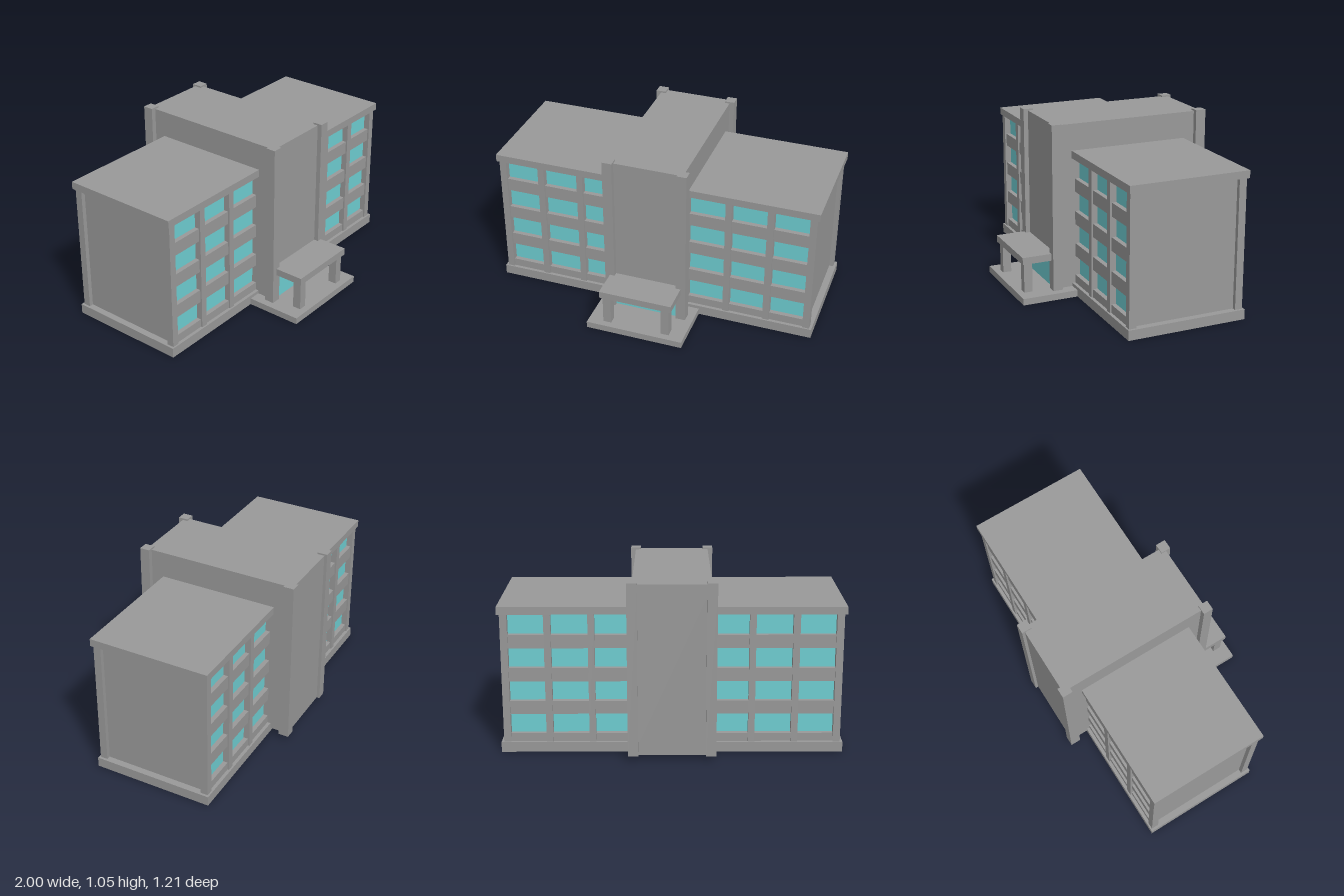
import * as THREE from 'three';

export function createModel() {
  const building = new THREE.Group();
  building.name = 'officeBuilding';
  const concrete = new THREE.MeshStandardMaterial({ color: 0x999999 });
  concrete.name = 'concrete grey';
  const glass = new THREE.MeshStandardMaterial({ color: 0x6fced2 });
  glass.name = 'aqua glass';

  // Box given by its limits on each axis
  function block(name, material, [x0, x1], [y0, y1], [z0, z1]) {
    const mesh = new THREE.Mesh(new THREE.BoxGeometry(x1 - x0, y1 - y0, z1 - z0), material);
    mesh.position.set((x0 + x1) / 2, (y0 + y1) / 2, (z0 + z1) / 2);
    mesh.name = name;
    building.add(mesh);
  }
  // The same box on both sides of x = 0
  function pair(name, material, [x0, x1], y, z) {
    block(name + 'Left', material, [x0, x1], y, z);
    block(name + 'Right', material, [-x1, -x0], y, z);
  }

  // Wings: plinth, core and roof slab
  block('plinth', concrete, [-1, 1], [0, 0.06], [-0.47, 0.26]);
  block('wingCore', concrete, [-0.96, 0.96], [0.06, 0.835], [-0.415, 0.205]);
  block('roofSlab', concrete, [-1, 1], [0.835, 0.88], [-0.47, 0.26]);

  // Facades, front and back: glazing, spandrel bands and columns
  const facades = [
    { side: 'front', glazing: [0.205, 0.212], band: [0.205, 0.24], column: [0.205, 0.25] },
    { side: 'back', glazing: [-0.422, -0.415], band: [-0.45, -0.415], column: [-0.46, -0.415] },
  ];
  const bands = [[0.06, 0.11], [0.23, 0.31], [0.43, 0.51], [0.63, 0.71]];
  const windowRows = [[0.11, 0.23], [0.31, 0.43], [0.51, 0.63], [0.71, 0.835]];
  const columns = [[0.445, 0.483], [0.695, 0.735], [0.943, 0.985]];
  for (const { side, glazing, band, column } of facades) {
    for (const y of windowRows) pair(side + 'Windows', glass, [0.225, 0.943], y, glazing);
    for (const y of bands) pair(side + 'Spandrel', concrete, [0.225, 0.943], y, band);
    for (const x of columns) pair(side + 'Column', concrete, x, [0.06, 0.835], column);
  }

  // Central tower with a pier at each corner
  block('tower', concrete, [-0.225, 0.225], [0.025, 1.04], [-0.585, 0.367]);
  pair('frontPier', concrete, [0.195, 0.255], [0.025, 1.05], [0.335, 0.395]);
  pair('backPier', concrete, [0.195, 0.255], [0.025, 1.05], [-0.603, -0.54]);

  // Entrance: step, glass doors, canopy and posts
  block('entranceStep', concrete, [-0.3, 0.3], [0, 0.04], [0.26, 0.603]);
  block('entranceGlass', glass, [-0.195, 0.195], [0.04, 0.222], [0.367, 0.374]);
  block('canopy', concrete, [-0.225, 0.225], [0.222, 0.265], [0.367, 0.575]);
  pair('canopyPost', concrete, [0.158, 0.208], [0.04, 0.222], [0.51, 0.562]);

  return building;
}
